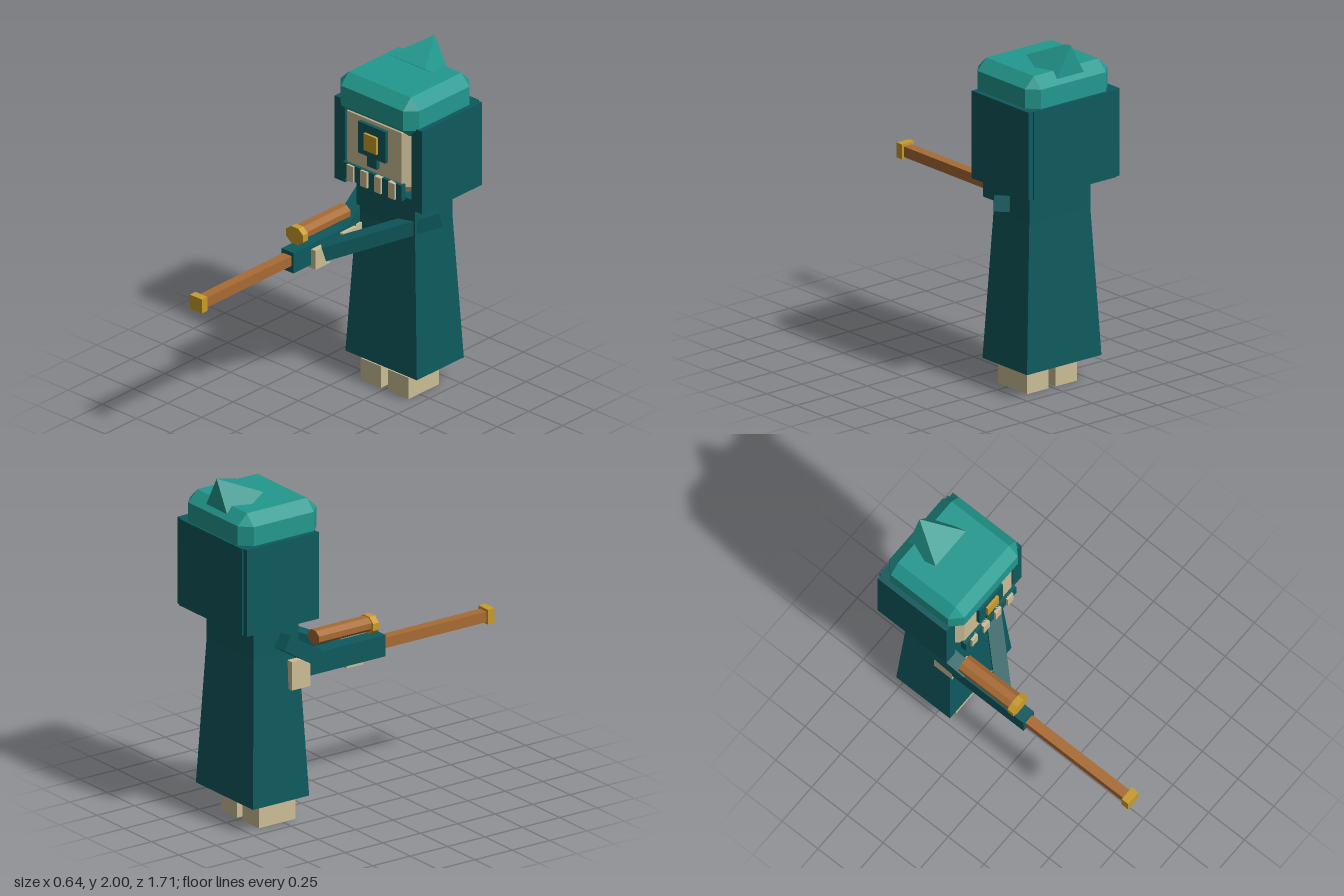
import * as THREE from 'three';
import { ConvexGeometry } from 'three/addons/geometries/ConvexGeometry.js';

const paint = (name, color) => {
  const m = new THREE.MeshStandardMaterial({ color });
  m.name = name;
  return m;
};

export function createModel() {
  const teal = paint('dark teal', 0x0e595d);
  const green = paint('hat green', 0x23998f);
  const beige = paint('beige', 0xcbbd95);
  const gold = paint('gold', 0xc99b2b);
  const brown = paint('wood brown', 0xa86b33);

  const model = new THREE.Group();
  model.name = 'hoodedMarksman';

  const add = (name, geometry, material, parent = model) => {
    const mesh = new THREE.Mesh(geometry, material);
    mesh.name = name;
    parent.add(mesh);
    return mesh;
  };

  // Box given by its limits on each axis
  const box = (name, mat, [x0, x1], [y0, y1], [z0, z1], parent) => {
    const g = new THREE.BoxGeometry(x1 - x0, y1 - y0, z1 - z0);
    g.translate((x0 + x1) / 2, (y0 + y1) / 2, (z0 + z1) / 2);
    return add(name, g, mat, parent);
  };

  // Box with every edge chamfered
  const chamferBox = (name, mat, hx, [y0, y1], [z0, z1], b, parent) => {
    const hy = (y1 - y0) / 2, hz = (z1 - z0) / 2, pts = [];
    for (const sx of [-1, 1]) for (const sy of [-1, 1]) for (const sz of [-1, 1]) {
      pts.push(
        new THREE.Vector3(sx * hx, sy * (hy - b), sz * (hz - b)),
        new THREE.Vector3(sx * (hx - b), sy * hy, sz * (hz - b)),
        new THREE.Vector3(sx * (hx - b), sy * (hy - b), sz * hz));
    }
    const g = new ConvexGeometry(pts);
    g.translate(0, (y0 + y1) / 2, (z0 + z1) / 2);
    return add(name, g, mat, parent);
  };

  // Square sleeve running between two points
  const sleeve = (name, a, b, size) => {
    const from = new THREE.Vector3(...a), to = new THREE.Vector3(...b);
    const mesh = add(name, new THREE.BoxGeometry(size, size, from.distanceTo(to)), teal);
    mesh.position.copy(from).add(to).multiplyScalar(0.5);
    mesh.lookAt(to);
    return mesh;
  };

  // Feet and legs
  for (const s of [-1, 1]) {
    const side = s > 0 ? 'left' : 'right';
    const span = (a, b) => (s > 0 ? [a, b] : [-b, -a]);
    box(side + 'Foot', beige, span(0.025, 0.175), [0, 0.13], [-0.66, -0.415]);
    box(side + 'Leg', beige, span(0.045, 0.16), [0.13, 0.25], [-0.65, -0.5]);
  }

  // Robe: straight chest above a flared skirt
  box('robeChest', teal, [-0.215, 0.215], [1.0, 1.21], [-0.725, -0.425]);
  const skirt = new THREE.BoxGeometry(0.43, 0.845, 0.3);
  const p = skirt.attributes.position;
  for (let i = 0; i < p.count; i++) {
    if (p.getY(i) < 0) p.setXYZ(i, p.getX(i) * 1.22, p.getY(i), p.getZ(i) * 1.25);
  }
  skirt.computeVertexNormals();
  skirt.translate(0, 0.5775, -0.575);
  add('robeSkirt', skirt, teal);

  // Head, hood and face
  const head = new THREE.Group();
  head.name = 'head';
  model.add(head);
  chamferBox('face', beige, 0.25, [1.275, 1.7], [-0.815, -0.335], 0.05, head);
  box('hoodLeft', teal, [0.245, 0.32], [1.19, 1.69], [-0.845, -0.365], head);
  box('hoodRight', teal, [-0.32, -0.245], [1.19, 1.69], [-0.845, -0.365], head);
  box('hoodBack', teal, [-0.29, 0.29], [1.19, 1.69], [-0.855, -0.8], head);
  box('eyeFrame', teal, [-0.1, 0.1], [1.44, 1.63], [-0.345, -0.313], head);
  box('eyeFrameStem', teal, [-0.036, 0.036], [1.38, 1.44], [-0.345, -0.313], head);
  box('eye', gold, [-0.047, 0.047], [1.48, 1.58], [-0.32, -0.297], head);
  box('mouth', teal, [-0.215, 0.215], [1.25, 1.345], [-0.348, -0.315], head);
  for (const x of [-0.152, -0.051, 0.051, 0.152]) {
    box('tooth', beige, [x - 0.024, x + 0.024], [1.25, 1.345], [-0.33, -0.302], head);
  }

  // Hat with a leaning point
  chamferBox('hat', green, 0.29, [1.62, 1.862], [-0.84, -0.315], 0.062, head);
  add('hatPoint', new ConvexGeometry([
    [0, 2, -0.815],
    [-0.13, 1.915, -0.597], [0.13, 1.915, -0.597],
    [-0.13, 1.76, -0.815], [0.13, 1.76, -0.815],
  ].map((v) => new THREE.Vector3(...v))), green, head);

  // Arms and hands
  sleeve('leftArm', [0.275, 1.085, -0.565], [-0.16, 0.9, -0.1], 0.085);
  sleeve('rightArm', [-0.25, 1.08, -0.56], [-0.22, 0.93, -0.32], 0.09);
  box('leftHand', beige, [-0.25, -0.137], [0.827, 0.94], [-0.13, -0.015]);
  box('rightHand', beige, [-0.25, -0.15], [0.88, 0.955], [-0.36, -0.245]);

  // Rifle
  const rifle = new THREE.Group();
  rifle.name = 'rifle';
  model.add(rifle);
  box('receiver', teal, [-0.26, -0.172], [0.845, 0.968], [-0.375, 0.125], rifle);
  box('stock', beige, [-0.259, -0.173], [0.785, 0.95], [-0.5, -0.375], rifle);
  box('barrel', brown, [-0.245, -0.187], [0.885, 0.945], [0.125, 0.81], rifle);
  box('muzzle', gold, [-0.259, -0.172], [0.875, 0.96], [0.81, 0.855], rifle);

  // Octagonal scope with a wider lens ring
  const octagon = (name, mat, w, h, y, z0, z1) => {
    const r = 1 / Math.cos(Math.PI / 8);
    const g = new THREE.CylinderGeometry(r, r, z1 - z0, 8).toNonIndexed();
    g.rotateY(Math.PI / 8);
    g.rotateX(Math.PI / 2);
    g.scale(w / 2, h / 2, 1);
    g.computeVertexNormals();
    g.translate(-0.216, y, (z0 + z1) / 2);
    add(name, g, mat, rifle);
  };
  octagon('scope', brown, 0.1, 0.08, 1.043, -0.325, 0.028);
  octagon('scopeLens', gold, 0.126, 0.1, 1.038, 0.028, 0.068);

  return model;
}
